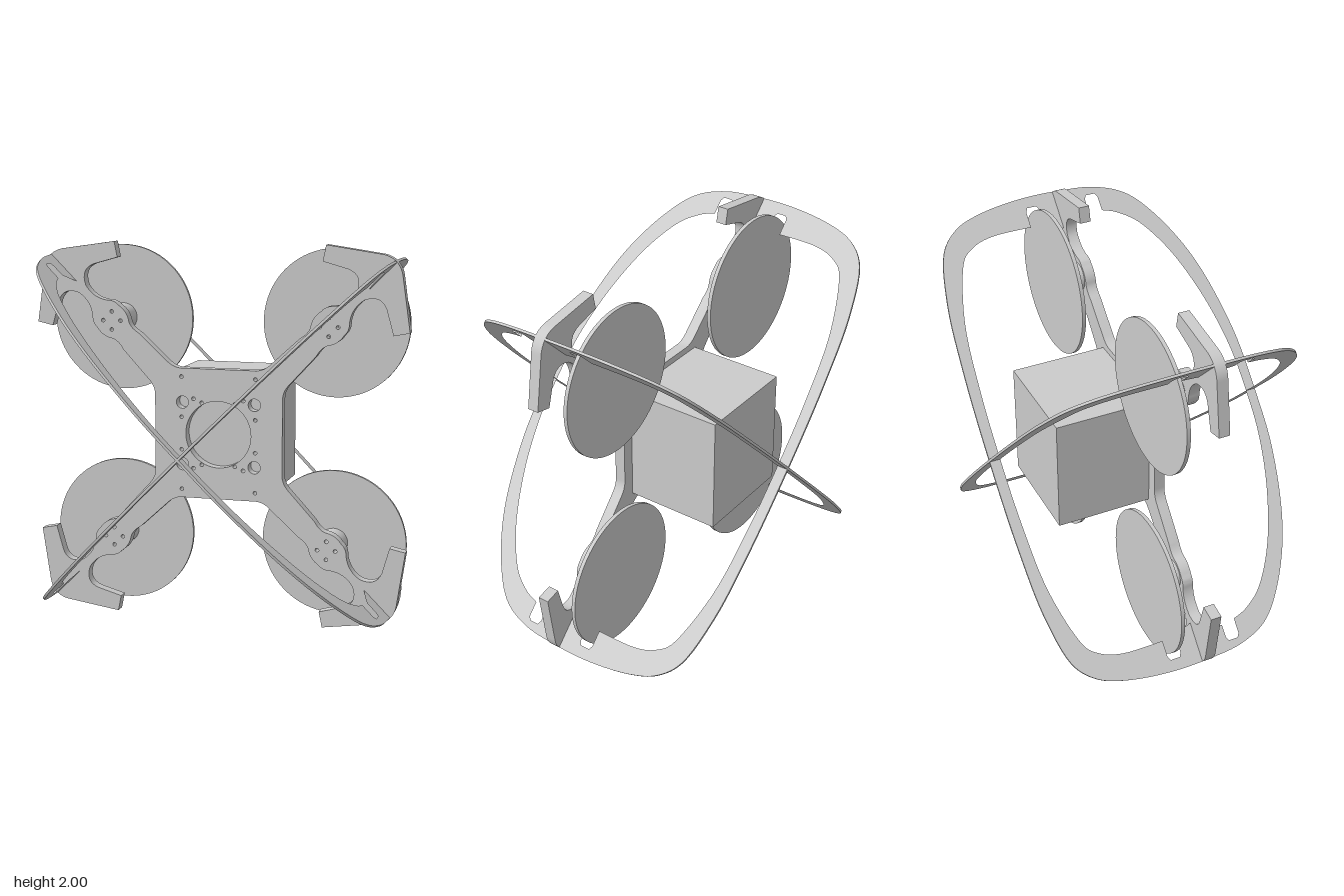
import * as THREE from 'three';
import { toCreasedNormals } from 'three/addons/utils/BufferGeometryUtils.js';

const V = (x, y) => new THREE.Vector2(x, y);
const MID = 1; // height of the centre

function extrude(shape, depth) {
  const geo = new THREE.ExtrudeGeometry(shape, { depth, bevelEnabled: false, curveSegments: 24 });
  return toCreasedNormals(geo, 0.5);
}

function hole(shape, x, y, r) {
  shape.holes.push(new THREE.Path().absarc(x, y, r, 0, Math.PI * 2, true));
}

// One edge of an arm, from the body's side to the corner bumper
function armEdge() {
  const p = new THREE.Path();
  p.moveTo(0.345, 0.2);
  p.quadraticCurveTo(0.345, 0.245, 0.385, 0.285);
  p.lineTo(0.52, 0.432);
  p.quadraticCurveTo(0.55, 0.485, 0.59, 0.49);
  p.quadraticCurveTo(0.635, 0.5, 0.665, 0.545);
  p.quadraticCurveTo(0.69, 0.565, 0.69, 0.61);
  p.quadraticCurveTo(0.70, 0.685, 0.765, 0.725);
  p.quadraticCurveTo(0.85, 0.755, 0.878, 0.68);
  p.lineTo(0.915, 0.548);
  p.lineTo(0.998, 0.565);
  p.lineTo(0.957, 0.845);
  p.quadraticCurveTo(0.952, 0.89, 0.922, 0.922);
  return p.getPoints(8);
}

function plateShape() {
  const half = armEdge();
  const quadrant = [...half, ...half.slice(0, -1).reverse().map(p => V(p.y, p.x))];
  const outline = [];
  for (let i = 0; i < 4; i++) {
    for (const p of quadrant) outline.push(p.clone().rotateAround(V(0, 0), i * Math.PI / 2));
  }
  const shape = new THREE.Shape(outline);
  hole(shape, 0, 0, 0.177);
  for (const sx of [1, -1]) {
    for (const sy of [1, -1]) {
      // body holes
      hole(shape, sx * 0.195, sy * 0.165, 0.033);
      for (const [x, y] of [[0.2, 0.3], [0.2, 0.087], [0.135, 0.185], [0.09, 0.165]]) {
        hole(shape, sx * x, sy * y, 0.01);
      }
      // motor screw holes
      for (const [dx, dy] of [[0.048, 0], [-0.048, 0], [0, 0.048], [0, -0.048]]) {
        hole(shape, sx * 0.583 + dx, sy * 0.583 + dy, 0.01);
      }
    }
  }
  return shape;
}

// Guard hoop profile as (distance along diagonal, z), half of it mirrored
function hoopShape() {
  const k = Math.SQRT2;
  const scale = list => list.map(([t, z]) => V(t * k, z));
  const mirror = list => list.slice().reverse().map(p => V(-p.x, p.y));

  const outerHalf = scale([[0.25, 0.757], [0.55, 0.667], [0.75, 0.53], [0.857, 0.4], [0.905, 0.24],
    [0.92, 0.05], [0.92, -0.2], [0.895, -0.44], [0.86, -0.57], [0.79, -0.667], [0.6, -0.735], [0.34, -0.762]]);
  const pts = [V(0, 0.77), ...outerHalf, V(0, -0.77), ...mirror(outerHalf)];
  const loop = new THREE.CatmullRomCurve3(pts.map(p => new THREE.Vector3(p.x, p.y, 0)), true, 'centripetal');
  const shape = new THREE.Shape(loop.getPoints(160).slice(0, -1).map(p => V(p.x, p.y)));

  const front = scale([[0.18, 0.707], [0.38, 0.655], [0.577, 0.56], [0.72, 0.44], [0.785, 0.33], [0.81, 0.24]]);
  const back = scale([[0.805, -0.175], [0.803, -0.39], [0.775, -0.52], [0.71, -0.60], [0.5, -0.68], [0.25, -0.707]]);
  const frontCurve = new THREE.SplineCurve([...mirror(front), V(0, 0.717), ...front]).getPoints(70);
  const backCurve = new THREE.SplineCurve([...back, V(0, -0.713), ...mirror(back)]).getPoints(70);
  // two clip slots with a raised tab between them
  const tab = scale([[0.865, 0.24], [0.88, 0.227], [0.88, 0.177], [0.865, 0.165], [0.82, 0.165], [0.80, 0.12],
    [0.78, 0.055], [0.775, 0], [0.798, -0.1], [0.865, -0.1], [0.88, -0.112], [0.88, -0.163], [0.865, -0.175]]);
  shape.holes.push(new THREE.Path([...frontCurve, ...tab, ...backCurve, ...mirror(tab)]));
  return shape;
}

export function createModel() {
  const model = new THREE.Group();
  const material = new THREE.MeshStandardMaterial({ color: 0xcccccc });
  const add = (name, geo, x, y, z) => {
    const mesh = new THREE.Mesh(geo, material);
    mesh.name = name;
    mesh.position.set(x, y, z);
    model.add(mesh);
    return mesh;
  };

  // Flat X-shaped frame with bumpers
  add('framePlate', extrude(plateShape(), 0.058), 0, MID, 0);

  // Equipment box behind the frame
  add('equipmentBox', new THREE.BoxGeometry(0.56, 0.62, 0.51), 0, MID, -0.255);

  // Motors and propeller discs
  const motor = new THREE.CylinderGeometry(0.076, 0.076, 0.135, 40).rotateX(Math.PI / 2);
  const disc = new THREE.CylinderGeometry(0.388, 0.388, 0.02, 80).rotateX(Math.PI / 2);
  for (const sx of [1, -1]) {
    for (const sy of [1, -1]) {
      add('motor', motor, sx * 0.583, MID + sy * 0.583, -0.0675);
      add('propellerDisc', disc, sx * 0.583, MID + sy * 0.583, -0.142);
    }
  }

  // Two crossed guard hoops standing in the diagonal planes
  const thick = 0.013;
  const hoop = extrude(hoopShape(), thick).translate(0, 0, -thick / 2).rotateX(Math.PI / 2);
  for (const s of [1, -1]) {
    add('guardHoop', hoop, 0, MID, 0).rotation.z = s * Math.PI / 4;
  }

  return model;
}
